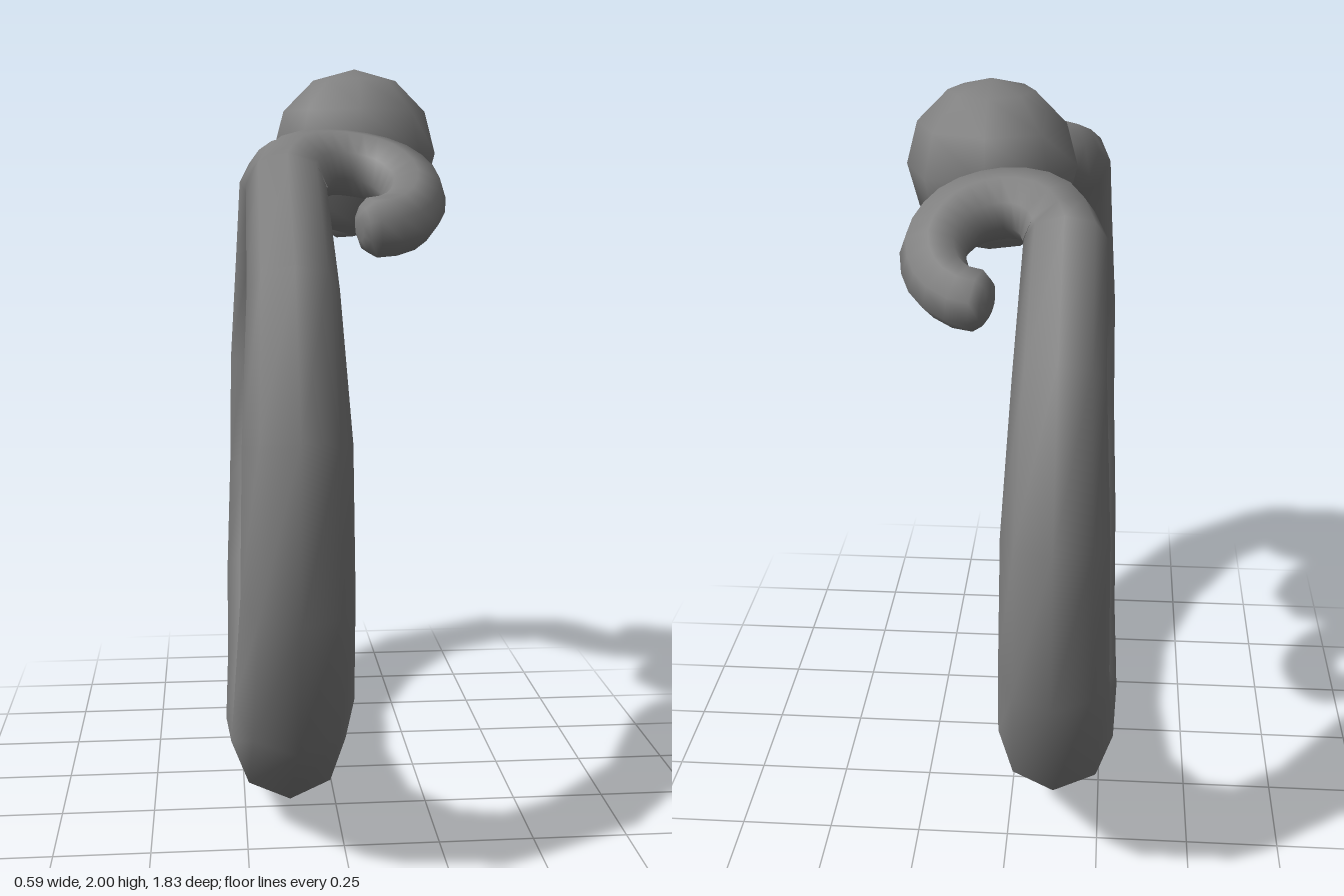
import * as THREE from 'three';

const SIDES = 8;
const V = (x, y, z) => new THREE.Vector3(x, y, z);

// Centre line and radius of one half of the ring, from the bottom to the curl's tip
function halfPath() {
  const path = [];
  const ringRadii = [0.163, 0.153, 0.148, 0.133, 0.126, 0.108, 0.1];
  ringRadii.forEach((r, i) => {
    const a = (i * Math.PI) / 7, R = 0.938 - r;
    path.push({ p: V(-0.135, 0.941 - R * Math.cos(a), R * Math.sin(a)), r });
  });
  // The curl: a hook in a tilted plane
  const curl = new THREE.CatmullRomCurve3([
    path[6].p,
    V(-0.098, 1.735, 0.305), V(-0.035, 1.752, 0.268), V(0.045, 1.748, 0.262),
    V(0.128, 1.725, 0.3), V(0.178, 1.672, 0.39), V(0.154, 1.622, 0.472),
    V(0.105, 1.602, 0.518), V(0.06, 1.597, 0.53),
  ]);
  const steps = 16;
  for (let i = 1; i <= steps; i++) {
    const t = i / steps;
    path.push({ p: curl.getPointAt(t), r: 0.1 - 0.013 * Math.min(1, t * 4) - 0.014 * t * t });
  }
  // Rounded tip
  const end = path[path.length - 1].p, dir = curl.getTangentAt(1);
  path.push({ p: end.clone().addScaledVector(dir, 0.022), r: 0.055 });
  path.push({ p: end.clone().addScaledVector(dir, 0.032), r: 0.03 });
  return path;
}

// Cross-sections along the half path, carried without twisting
function halfSections() {
  const path = halfPath(), n = V(1, 0, 0), sections = [];
  path.forEach(({ p, r }, i) => {
    const next = path[Math.min(i + 1, path.length - 1)].p;
    const tangent = i === 0 ? V(0, 0, 1) : next.clone().sub(path[i - 1].p).normalize();
    n.addScaledVector(tangent, -n.dot(tangent)).normalize();
    const b = tangent.clone().cross(n);
    const section = [];
    for (let k = 0; k < SIDES; k++) {
      const a = (k / SIDES) * Math.PI * 2;
      section.push(p.clone().addScaledVector(n, r * Math.cos(a)).addScaledVector(b, r * Math.sin(a)));
    }
    sections.push(section);
  });
  return sections;
}

function bandGeometry() {
  const half = halfSections();
  const mirrored = half.slice(1).reverse().map((s) => s.map((v) => V(v.x, v.y, -v.z)));
  const sections = [...mirrored, ...half];
  const pos = [], index = [];
  sections.forEach((s) => s.forEach((v) => pos.push(v.x, v.y, v.z)));
  for (let i = 0; i < sections.length - 1; i++) {
    for (let k = 0; k < SIDES; k++) {
      const k2 = (k + 1) % SIDES;
      const a = i * SIDES + k, b = i * SIDES + k2;
      index.push(a, b, b + SIDES, a, b + SIDES, a + SIDES);
    }
  }
  // Flat fans closing both tips
  const last = (sections.length - 1) * SIDES;
  for (let k = 1; k < SIDES - 1; k++) {
    index.push(0, k + 1, k, last, last + k, last + k + 1);
  }
  const geo = new THREE.BufferGeometry();
  geo.setAttribute('position', new THREE.Float32BufferAttribute(pos, 3));
  geo.setIndex(index);
  geo.computeVertexNormals();
  return geo;
}

export function createModel() {
  const group = new THREE.Group();
  group.name = 'beadRing';
  const material = new THREE.MeshStandardMaterial({ color: 0x808080 });

  // Open ring tapering into two mirrored curls
  const band = new THREE.Mesh(bandGeometry(), material);
  band.name = 'curledBand';
  group.add(band);

  // Bead held between the curls
  const bead = new THREE.Mesh(new THREE.SphereGeometry(0.222, 8, 6), material);
  bead.name = 'bead';
  bead.position.set(0.07, 1.778, 0);
  group.add(bead);

  return group;
}
